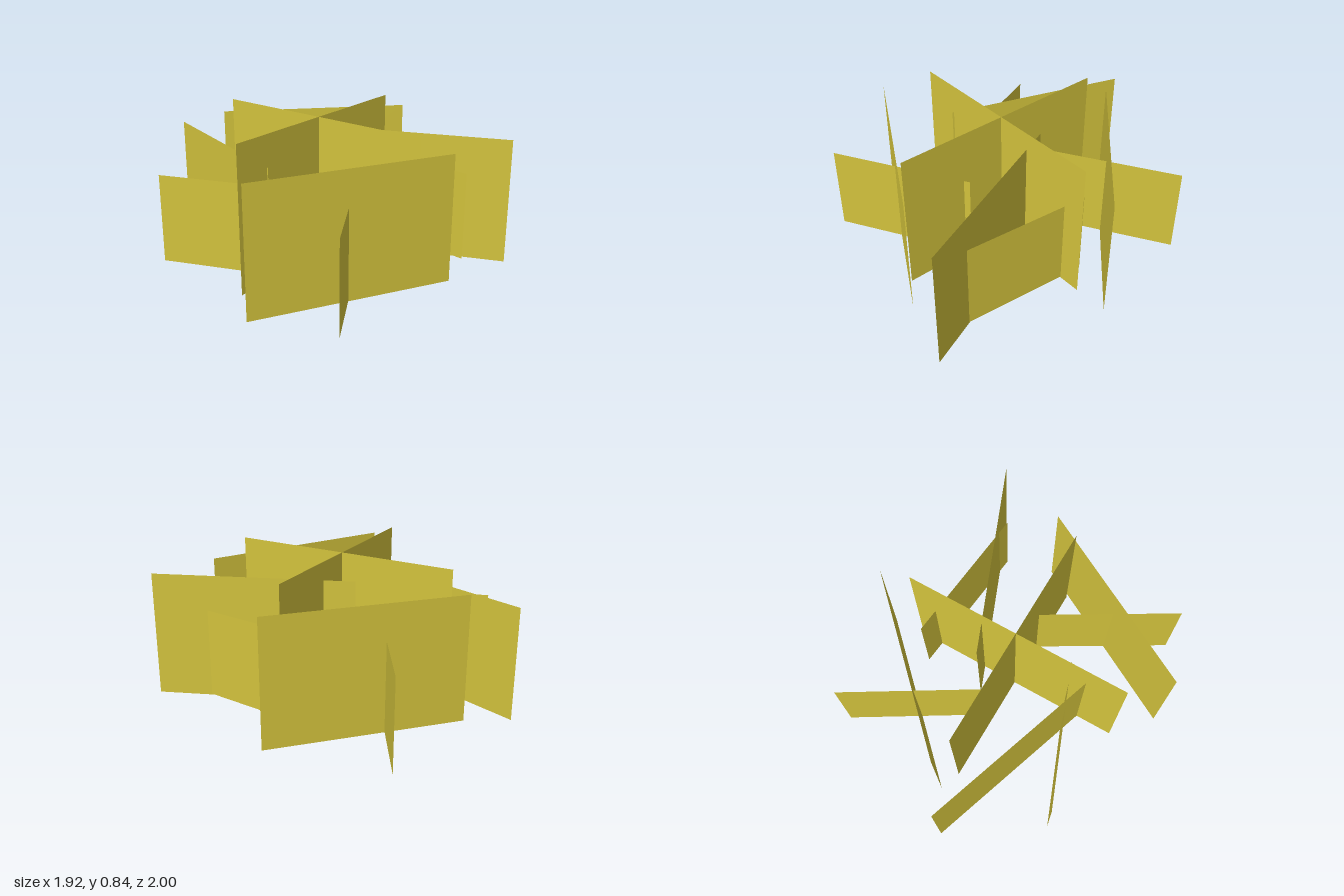
import * as THREE from 'three';

// Upright flat cards of a foliage clump: name, start x/z, end x/z, bottom, top
const CARDS = [
  ['centreCardA', -0.56, 0.46, 0.42, -0.42, 0.01, 0.845],
  ['centreCardB', -0.51, -0.48, 0.37, 0.52, 0.01, 0.845],
  ['frontCard', -0.56, 0.75, 0.57, 0.49, 0.01, 0.74],
  ['backCard', -0.56, -0.60, 0.57, -0.56, 0.01, 0.74],
  ['leftCard', -0.07, -0.20, 0.96, 0.31, 0.01, 0.74],
  ['rightCard', -0.81, -0.68, -0.39, 0.32, 0.01, 0.665],
  ['smallFrontCard', -0.14, 1.0, 0.12, 0.19, 0.015, 0.535],
  ['smallBackCard', 0.03, -1.0, -0.22, -0.19, 0.015, 0.535],
  ['smallLeftCard', 0.24, -0.44, 0.73, 0.24, 0.015, 0.535],
  ['smallRightCard', -0.965, -0.08, -0.20, 0.31, 0, 0.525],
];

export function createModel() {
  const group = new THREE.Group();
  group.name = 'foliageClump';
  const leaf = new THREE.MeshStandardMaterial({ color: 0xd2c23c, side: THREE.DoubleSide });
  leaf.name = 'yellowLeaf';

  for (const [name, x0, z0, x1, z1, y0, y1] of CARDS) {
    const dx = x1 - x0, dz = z1 - z0;
    const card = new THREE.Mesh(new THREE.PlaneGeometry(Math.hypot(dx, dz), y1 - y0), leaf);
    card.name = name;
    card.position.set((x0 + x1) / 2, (y0 + y1) / 2, (z0 + z1) / 2);
    card.rotation.y = Math.atan2(-dz, dx);
    group.add(card);
  }
  return group;
}
